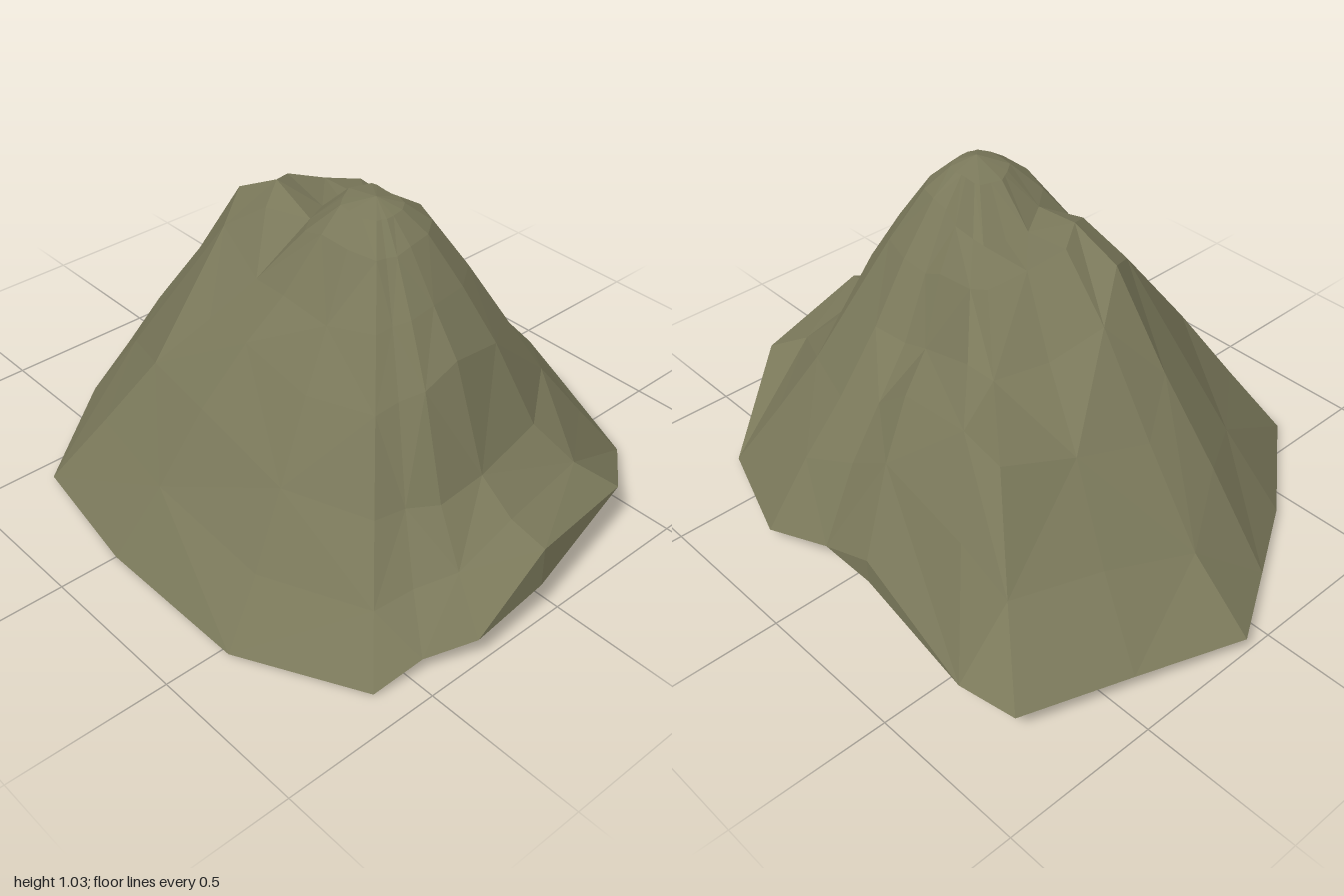
import * as THREE from 'three';

// Each ridge runs from the summit to the foot: foot x, foot z, foot height,
// then the ground heights at the fractions in STEPS.
const SUMMIT = [-0.04, 1.035, 0.27];
const STEPS = [0.2, 0.34, 0.48, 0.65, 0.82];
const RIDGES = [
  [-0.81, 0.00, 0.00, 0.95, 0.78, 0.65, 0.46, 0.22],
  [-0.82, 0.54, 0.02, 0.95, 0.77, 0.61, 0.39, 0.19],
  [-0.62, 0.90, 0.01, 0.93, 0.77, 0.59, 0.35, 0.16],
  [-0.47, 0.93, 0.06, 0.93, 0.78, 0.61, 0.35, 0.18],
  [-0.33, 1.00, 0.09, 0.93, 0.79, 0.63, 0.34, 0.21],
  [-0.07, 0.99, 0.25, 0.94, 0.80, 0.67, 0.35, 0.27],
  [0.35, 0.91, 0.19, 0.94, 0.79, 0.62, 0.36, 0.25],
  [0.67, 0.67, 0.02, 0.94, 0.78, 0.60, 0.38, 0.20],
  [0.81, 0.29, 0.05, 0.95, 0.79, 0.60, 0.41, 0.25],
  [0.77, 0.05, 0.12, 0.93, 0.77, 0.59, 0.46, 0.33],
  [0.77, -0.15, 0.20, 0.89, 0.80, 0.62, 0.56, 0.43],
  [0.82, -0.60, 0.09, 0.89, 0.83, 0.69, 0.62, 0.40],
  [0.78, -0.78, 0.08, 0.88, 0.85, 0.67, 0.55, 0.27],
  [0.44, -0.89, 0.07, 0.88, 0.88, 0.68, 0.50, 0.26],
  [0.10, -1.00, 0.055, 0.89, 0.92, 0.75, 0.47, 0.21],
  [-0.15, -0.85, 0.04, 0.90, 0.95, 0.87, 0.58, 0.33],
  [-0.40, -0.70, 0.035, 0.91, 0.91, 0.81, 0.55, 0.29],
  [-0.75, -0.42, 0.015, 0.92, 0.76, 0.62, 0.46, 0.24],
];

// Joins loops of points into a closed skin, capped by a fan at both ends.
function skin(loops, top, bottom) {
  const n = loops[0].length;
  const points = [...loops.flat(), top, bottom];
  const topId = points.length - 2, bottomId = points.length - 1;
  const index = [];
  for (let i = 0; i < n; i++) {
    const j = (i + 1) % n;
    const last = (loops.length - 1) * n;
    index.push(topId, i, j, bottomId, last + j, last + i);
    for (let r = 0; r < loops.length - 1; r++) {
      const a = r * n + i, b = r * n + j, c = a + n, d = b + n;
      // alternate the diagonals for an irregular, faceted surface
      if ((r + i) % 2) index.push(a, c, d, a, d, b);
      else index.push(a, c, b, b, c, d);
    }
  }
  const geometry = new THREE.BufferGeometry();
  geometry.setAttribute('position', new THREE.Float32BufferAttribute(points.flat(), 3));
  geometry.setIndex(index);
  const faceted = geometry.toNonIndexed();
  faceted.computeVertexNormals();
  return faceted;
}

export function createModel() {
  const group = new THREE.Group();
  group.name = 'rockyHill';

  // a ring of ground points part of the way from the summit to the foot
  const contour = (t, heightOf) => RIDGES.map((ridge) => [
    THREE.MathUtils.lerp(SUMMIT[0], ridge[0], t),
    heightOf(ridge),
    THREE.MathUtils.lerp(SUMMIT[2], ridge[1], t),
  ]);

  const loops = [
    contour(0.1, () => 1.005), // rounded crown
    ...STEPS.map((t, s) => contour(t, (ridge) => ridge[3 + s])), // slopes
    contour(1, (ridge) => ridge[2]), // foot
    contour(1, (ridge) => (ridge[2] >= 0.2 ? 0.12 : ridge[2])), // edge under the ledges
  ];

  const rock = new THREE.Mesh(
    skin(loops, SUMMIT, [0, 0.05, 0]),
    new THREE.MeshStandardMaterial({ color: 0x7a785a, flatShading: true })
  );
  rock.name = 'rock';
  group.add(rock);
  return group;
}
